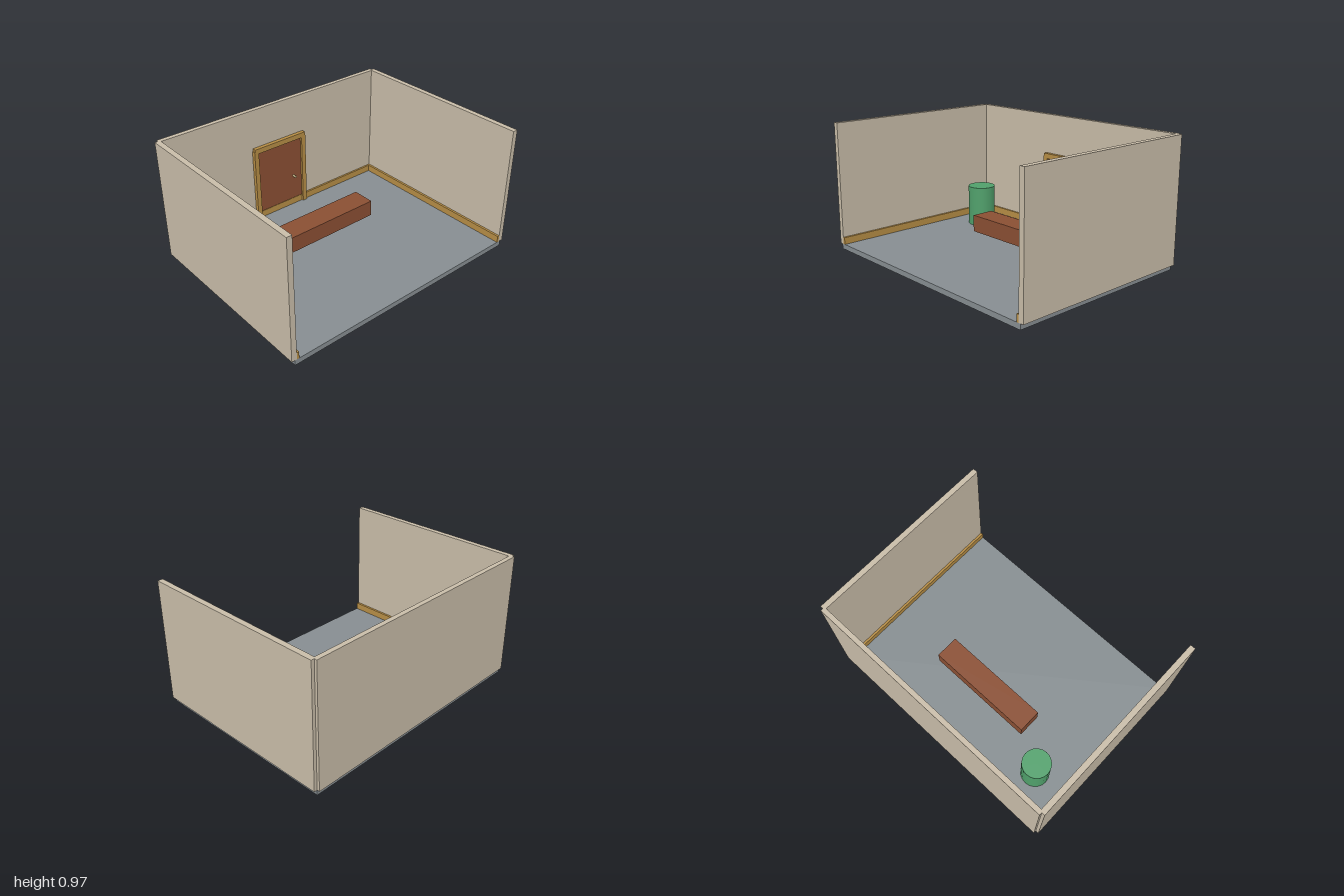
import * as THREE from 'three';

const material = (name, color) => {
  const m = new THREE.MeshStandardMaterial({ color });
  m.name = name;
  return m;
};

export function createModel() {
  const room = new THREE.Group();
  room.name = 'room';
  const plaster = material('plaster', 0xc8bca8);
  const slate = material('slate', 0x868d91);
  const trim = material('trim', 0xb68d45);
  const wood = material('wood', 0x8a4f33);
  const green = material('green', 0x50a06b);
  const metal = material('metal', 0xd0c090);

  // Box given by its minimum and maximum along each axis
  const box = (name, mat, [x0, x1], [y0, y1], [z0, z1]) => {
    const mesh = new THREE.Mesh(new THREE.BoxGeometry(x1 - x0, y1 - y0, z1 - z0), mat);
    mesh.position.set((x0 + x1) / 2, (y0 + y1) / 2, (z0 + z1) / 2);
    mesh.name = name;
    room.add(mesh);
    return mesh;
  };

  // Floor and back wall
  box('floor', slate, [-0.976, 0.976], [0, 0.04], [-0.72, 0.74]);
  box('backWall', plaster, [-0.976, 0.976], [0.04, 0.966], [-0.74, -0.705]);
  box('backBaseboard', trim, [-0.945, 0.945], [0.04, 0.093], [-0.705, -0.69]);

  // Side walls, skirting and door jambs, mirrored
  for (const [side, s] of [['left', 1], ['right', -1]]) {
    const span = (a, b) => (s > 0 ? [a, b] : [-b, -a]);
    box(side + 'Wall', plaster, span(0.96, 1), [0.04, 0.966], [-0.72, 0.74]);
    box(side + 'Baseboard', trim, span(0.942, 0.96), [0.04, 0.093], [-0.705, 0.74]);
    box(side + 'DoorJamb', trim, span(0.203, 0.24), [0.04, 0.637], [-0.705, -0.675]);
  }

  // Door
  box('doorHeader', trim, [-0.235, 0.235], [0.617, 0.658], [-0.705, -0.674]);
  box('door', wood, [-0.203, 0.203], [0.04, 0.617], [-0.705, -0.693]);
  const knob = new THREE.Mesh(new THREE.CylinderGeometry(0.008, 0.008, 0.033, 10), metal);
  knob.rotation.x = Math.PI / 2;
  knob.position.set(0.125, 0.297, -0.677);
  knob.name = 'doorKnob';
  room.add(knob);

  // Bench
  box('bench', wood, [-0.425, 0.425], [0.088, 0.217], [-0.28, -0.1]);

  // Round planter
  const planter = new THREE.Mesh(new THREE.CylinderGeometry(0.107, 0.107, 0.315, 20), green);
  planter.position.set(-0.686, 0.1975, -0.41);
  planter.name = 'planter';
  room.add(planter);

  return room;
}
